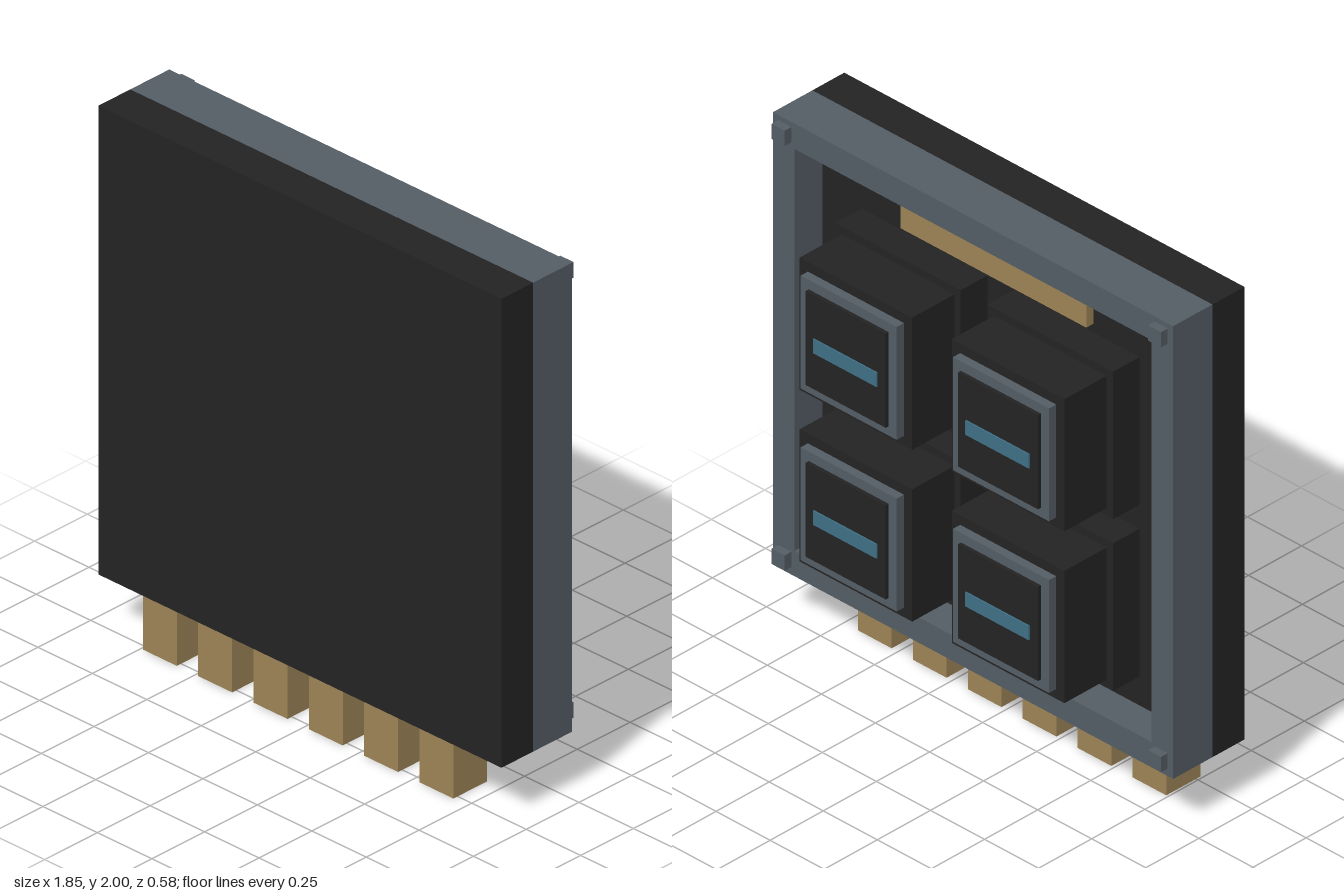
import * as THREE from 'three';

const material = (name, color) => Object.assign(new THREE.MeshStandardMaterial({ color }), { name });

export function createModel() {
  const charcoal = material('charcoal', 0x232323);
  const slate = material('slate', 0x545d65);
  const brass = material('brass', 0x9c8355);
  const teal = material('teal', 0x3e7085);

  const model = new THREE.Group();
  model.name = 'keyModule';

  // Box given by its minimum and maximum on each axis
  const addBox = (parent, name, mat, [x0, x1], [y0, y1], [z0, z1]) => {
    const mesh = new THREE.Mesh(new THREE.BoxGeometry(x1 - x0, y1 - y0, z1 - z0), mat);
    mesh.position.set((x0 + x1) / 2, (y0 + y1) / 2, (z0 + z1) / 2);
    mesh.name = name;
    parent.add(mesh);
  };
  const around = (centre, half) => [centre - half, centre + half];

  // Front panel and the recessed floor behind it
  addBox(model, 'frontPanel', charcoal, [-0.925, 0.925], [0.22, 2], [0.14, 0.29]);
  addBox(model, 'recessFloor', charcoal, [-0.825, 0.825], [0.32, 1.9], [0.085, 0.14]);

  // Rim around the recess
  const rectangle = (path, hx, y0, y1) =>
    path.moveTo(-hx, y0).lineTo(hx, y0).lineTo(hx, y1).lineTo(-hx, y1).closePath();
  const outline = new THREE.Shape();
  rectangle(outline, 0.925, 0.22, 2);
  const opening = new THREE.Path();
  rectangle(opening, 0.825, 0.32, 1.9);
  outline.holes.push(opening);
  const rim = new THREE.Mesh(
    new THREE.ExtrudeGeometry(outline, { depth: 0.185, bevelEnabled: false }), slate);
  rim.position.z = -0.045;
  rim.name = 'rearRim';
  model.add(rim);

  // Corner pegs
  for (const x of [-0.87, 0.87]) {
    for (const y of [0.28, 1.95]) {
      addBox(model, 'cornerPeg', slate, around(x, 0.03), around(y, 0.03), [-0.077, -0.045]);
    }
  }

  // Four keys: socket, cap, bezel, face and indicator strip
  for (const x of [-0.352, 0.352]) {
    for (const y of [0.725, 1.4]) {
      const key = new THREE.Group();
      key.name = 'key';
      key.position.set(x, y, 0);
      const layer = (name, mat, half, z) => addBox(key, name, mat, around(0, half), around(0, half), z);
      layer('keySocket', charcoal, 0.29, [-0.04, 0.085]);
      layer('keyCap', charcoal, 0.26, [-0.238, -0.04]);
      layer('keyBezel', slate, 0.222, [-0.272, -0.238]);
      layer('keyFace', charcoal, 0.185, [-0.286, -0.272]);
      addBox(key, 'indicatorStrip', teal, around(0, 0.147), around(-0.012, 0.028), [-0.291, -0.286]);
      model.add(key);
    }
  }

  // Bar on the recess floor, above the keys
  addBox(model, 'contactBar', brass, [-0.43, 0.43], [1.725, 1.83], [0.05, 0.085]);

  // Row of connector pins along the bottom
  for (let i = 0; i < 6; i++) {
    addBox(model, 'connectorPin', brass, around(-0.663 + i * 0.254, 0.078), [0, 0.22], [0.11, 0.27]);
  }
  return model;
}
